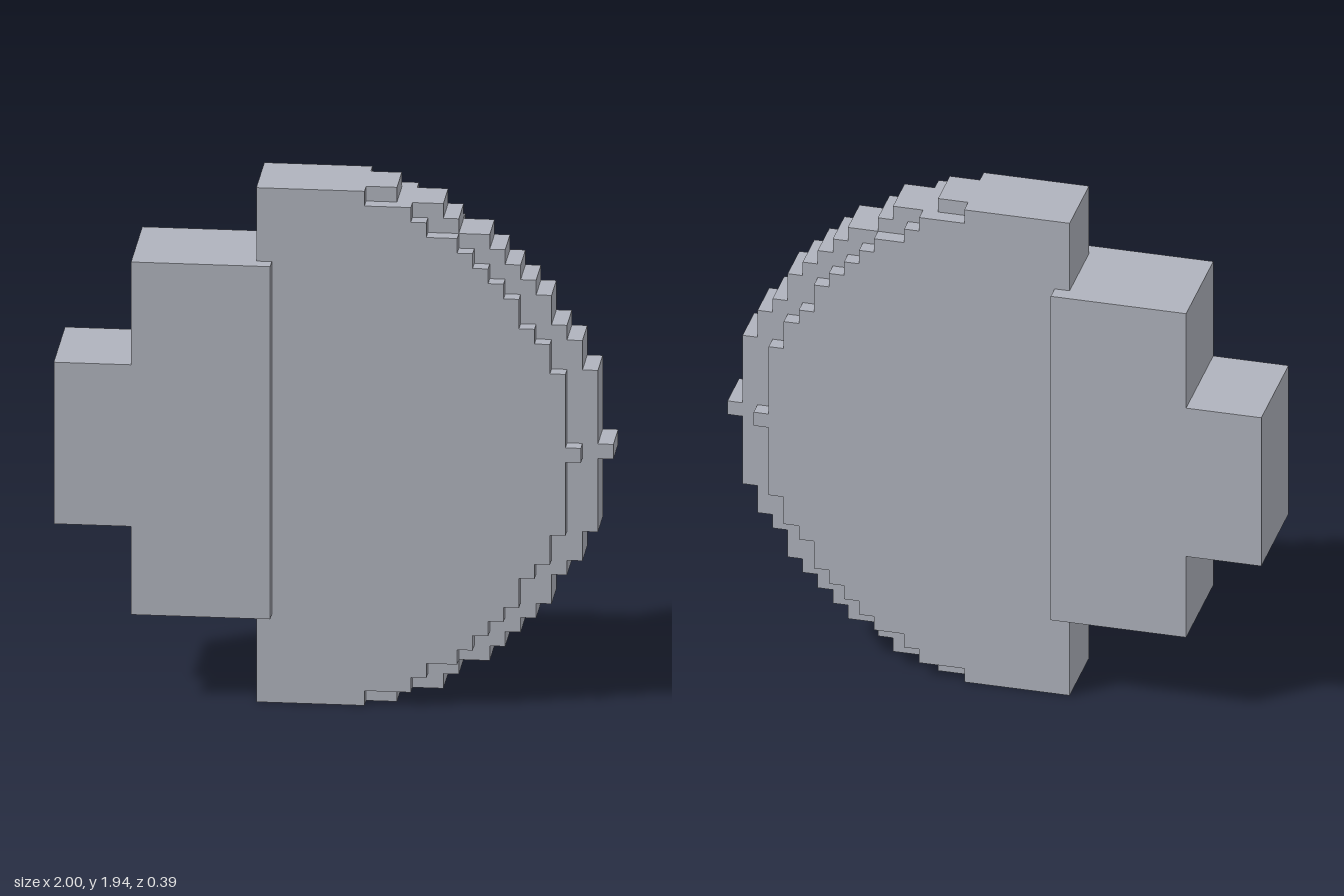
import * as THREE from 'three';

const U = 1 / 18; // one grid cell

// Steps of the round edge: [reach in x, upper y, lower y of the step], above the middle
const STEPS = [
  [4, 35, 34], [7, 34, 33], [8, 33, 32], [10, 32, 31], [11, 31, 30], [12, 30, 29],
  [13, 29, 28], [14, 28, 26], [15, 26, 25], [16, 25, 23], [17, 23, 18], [18, 18, 17],
];

// Flat plate cut to an outline in cells, centred on z = 0
function plate(name, points, depth, material) {
  const shape = new THREE.Shape(points.map(([x, y]) => new THREE.Vector2(x * U, y * U)));
  const geometry = new THREE.ExtrudeGeometry(shape, { depth: depth * U, bevelEnabled: false });
  geometry.translate(0, 0, -depth * U / 2);
  const mesh = new THREE.Mesh(geometry, material);
  mesh.name = name;
  return mesh;
}

// Half disc with a stepped edge, mirrored about its middle height
function steppedOutline(left, inset) {
  const upper = [];
  for (const [x, top, bottom] of STEPS) upper.push([x - inset, top], [x - inset, bottom]);
  upper.pop();
  const lower = upper.map(([x, y]) => [x, 35 - y]);
  return [[left, 0], ...lower, ...upper.reverse(), [left, 35]];
}

export function createModel() {
  const model = new THREE.Group();
  model.name = 'steppedHalfDisc';
  const grey = new THREE.MeshStandardMaterial({ color: 0xb0b3bd });
  grey.name = 'grey';

  // Thick disc body, with a thinner rim reaching two cells further out
  model.add(plate('discBody', steppedOutline(-5, 2), 5, grey));
  model.add(plate('discRim', steppedOutline(2, 0), 3, grey));

  // Wide back block with a shorter end
  model.add(plate('backBlock', [
    [-18, 12], [-13, 12], [-13, 6], [-4, 6], [-4, 30], [-13, 30], [-13, 23], [-18, 23],
  ], 7, grey));

  return model;
}
